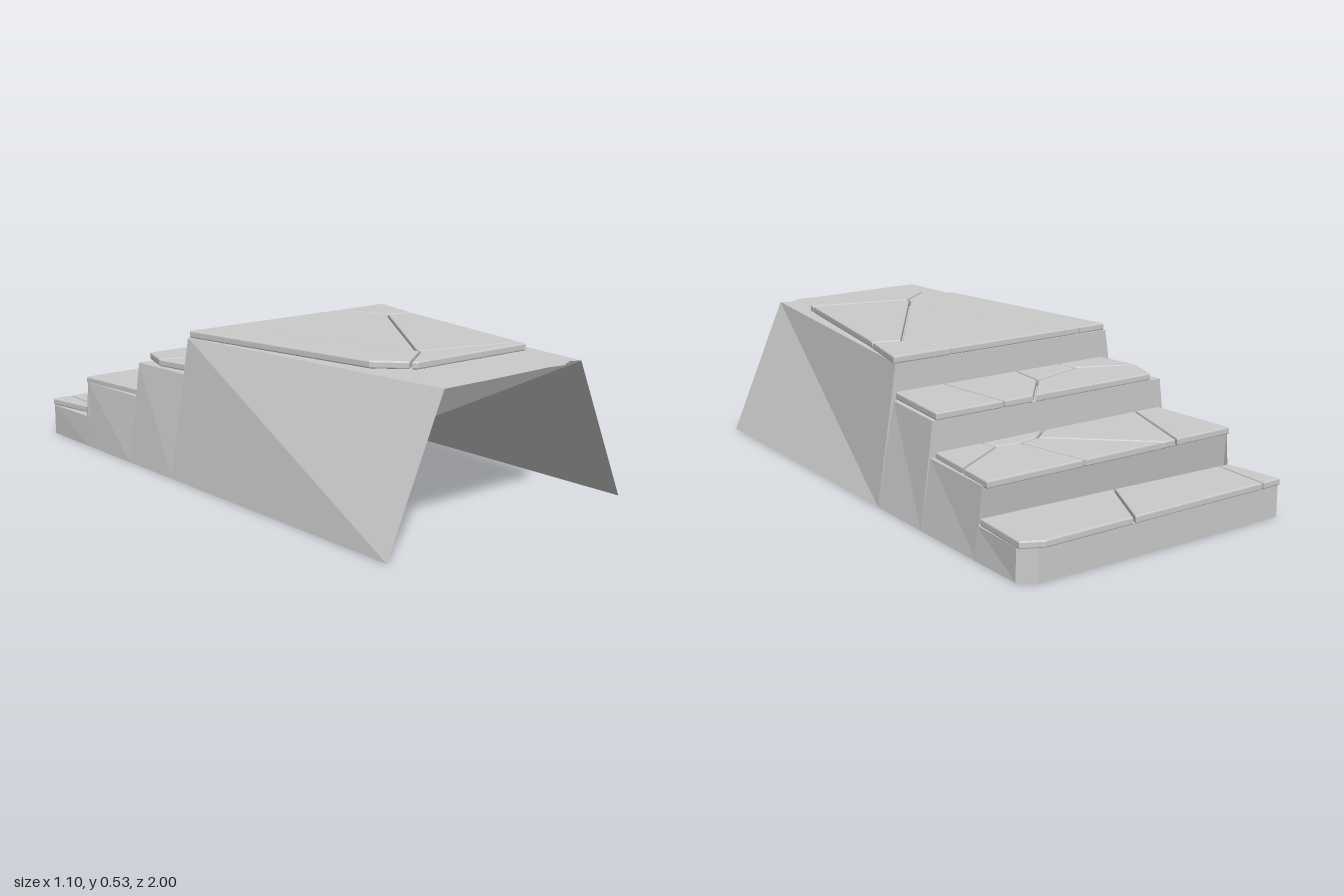
import * as THREE from 'three';

const stone = new THREE.MeshStandardMaterial({ color: 0xcccccc });
const shell = new THREE.MeshStandardMaterial({ color: 0xcccccc, side: THREE.DoubleSide });

// Stepped shell, open at the front and below, lofted from front to back
function makeBase() {
  const across = [0, 0.3, 0.75, 0.84, 0.95, 1];
  const level = across.map(() => 0);
  const raggedFront = [0.015, 0.012, 0, 0.01, -0.025, -0.005];
  const roundedBack = [0.015, 0.005, 0, 0, 0, 0.04];
  // z, tread height, left edge, right edge, z offsets
  const stations = [
    [0.98, 0.5, -0.3, 0.33, raggedFront],
    [-0.145, 0.5, -0.455, 0.445, level],
    [-0.145, 0.37, -0.47, 0.455, level],
    [-0.42, 0.37, -0.49, 0.47, level],
    [-0.42, 0.245, -0.505, 0.48, level],
    [-0.74, 0.245, -0.525, 0.49, level],
    [-0.72, 0.115, -0.54, 0.5, level],
    [-0.985, 0.115, -0.55, 0.505, roundedBack],
    [-0.985, 0, -0.55, 0.505, roundedBack],
  ];
  const rows = stations.map(([z, y, left, right, dz]) => {
    const k = (z + 0.985) / 1.965;
    return [
      [-0.55 + 0.03 * k, 0, z + dz[0]],
      ...across.map((t, i) => [left + (right - left) * t, y, z + dz[i]]),
      [0.505 + 0.045 * k, 0, z + dz[5]],
    ];
  });
  const positions = [];
  for (let i = 0; i < rows.length - 1; i++) {
    for (let j = 0; j < rows[i].length - 1; j++) {
      const a = rows[i][j], b = rows[i][j + 1], c = rows[i + 1][j + 1], d = rows[i + 1][j];
      positions.push(...a, ...b, ...c, ...a, ...c, ...d);
    }
  }
  const geometry = new THREE.BufferGeometry();
  geometry.setAttribute('position', new THREE.Float32BufferAttribute(positions, 3));
  geometry.computeVertexNormals();
  const mesh = new THREE.Mesh(geometry, shell);
  mesh.name = 'steppedBase';
  return mesh;
}

// Keeps the part of a convex outline nearer to seed than to other, less half a joint
function clipToSeed(outline, seed, other) {
  const halfJoint = 0.004;
  const normal = other.clone().sub(seed).normalize();
  const limit = normal.dot(seed.clone().add(other).multiplyScalar(0.5)) - halfJoint;
  const kept = [];
  outline.forEach((p, i) => {
    const q = outline[(i + 1) % outline.length];
    const dp = normal.dot(p) - limit, dq = normal.dot(q) - limit;
    if (dp <= 0) kept.push(p);
    if (dp * dq < 0) kept.push(p.clone().lerp(q, dp / (dp - dq)));
  });
  return kept;
}

// Flat paving stone with softened edges
function makeSlab(outline, bottom) {
  const bevel = 0.005;
  const geometry = new THREE.ExtrudeGeometry(new THREE.Shape(outline), {
    depth: 0.026 - 2 * bevel,
    bevelThickness: bevel,
    bevelSize: bevel,
    bevelOffset: -bevel,
    bevelSegments: 2,
  });
  geometry.rotateX(-Math.PI / 2);
  geometry.translate(0, bottom + bevel, 0);
  return new THREE.Mesh(geometry, stone);
}

// Paves one level: its outline is split into one stone around each seed (x, z)
function makePaving(name, bottom, outline, seeds) {
  const toPlan = ([x, z]) => new THREE.Vector2(x, -z);
  const border = outline.map(toPlan);
  const centres = seeds.map(toPlan);
  const paving = new THREE.Group();
  paving.name = name + 's';
  centres.forEach((seed, i) => {
    const others = centres.filter((other) => other !== seed);
    const cell = others.reduce((shape, other) => clipToSeed(shape, seed, other), border);
    const slab = makeSlab(cell, bottom);
    slab.name = name + (i + 1);
    paving.add(slab);
  });
  return paving;
}

export function createModel() {
  const model = new THREE.Group();
  model.name = 'stoneSteps';
  model.add(
    makeBase(),
    makePaving('landingSlab', 0.5,
      [[-0.45, -0.14], [0.455, -0.15], [0.4, 0.13], [0.307, 0.75], [-0.18, 0.75], [-0.29, 0.64]],
      [[0, 0.1], [-0.43, 0.26], [0.38, 0.35], [0.555, -0.17], [0.2, 1.08]]),
    makePaving('upperStepSlab', 0.374,
      [[-0.434, -0.432], [0.466, -0.436], [0.445, -0.135], [-0.44, -0.135], [-0.475, -0.3]],
      [[-0.22, -0.34], [-0.32, -0.1], [-0.16, -0.14], [0.044, -0.126], [0.45, -0.196]]),
    makePaving('middleStepSlab', 0.24,
      [[-0.525, -0.75], [0.487, -0.762], [0.465, -0.43], [-0.485, -0.42]],
      [[-0.42, -0.6], [-0.25, -0.55], [-0.03, -0.81], [0.2, -0.87], [0.576, -0.25], [0.114, -0.13]]),
    makePaving('lowerStepSlab', 0.115,
      [[-0.55, -0.978], [0.435, -1], [0.508, -0.965], [0.497, -0.74], [-0.51, -0.77]],
      [[-0.53, -0.88], [-0.41, -0.88], [0.33, -0.54]]),
  );
  return model;
}
